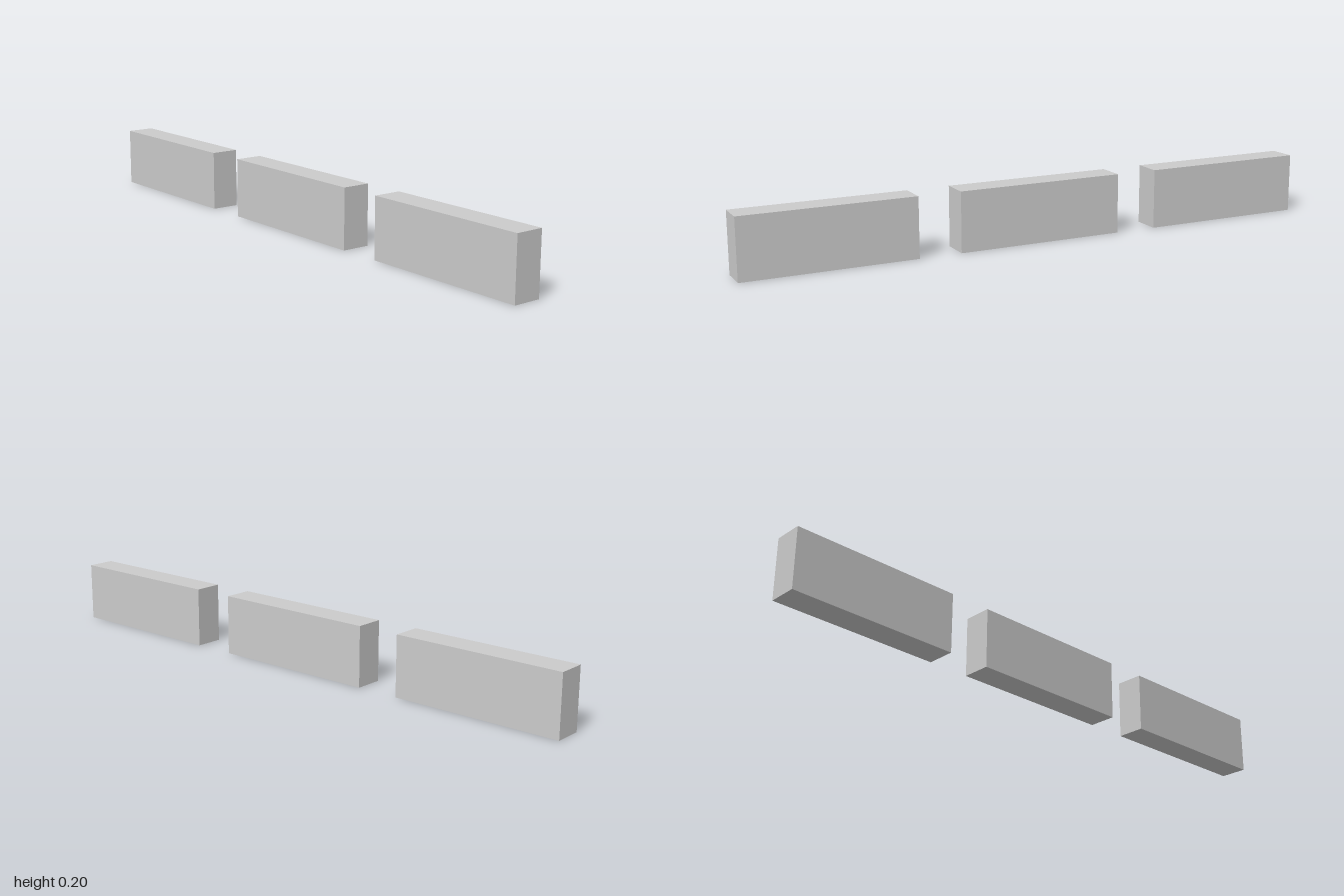
import * as THREE from 'three';

export function createModel() {
  const model = new THREE.Group();
  model.name = 'blockRow';

  const length = 4 / 7, height = 0.2, depth = 0.095;
  const spacing = 5 / 7; // block length plus a gap of a quarter block
  const geometry = new THREE.BoxGeometry(length, height, depth);
  const material = new THREE.MeshStandardMaterial({ color: 0xcccccc });

  // Three equal blocks in a row, standing on the ground
  ['rightBlock', 'middleBlock', 'leftBlock'].forEach((name, i) => {
    const block = new THREE.Mesh(geometry, material);
    block.name = name;
    block.position.set((i - 1) * spacing, height / 2, 0);
    model.add(block);
  });

  return model;
}
